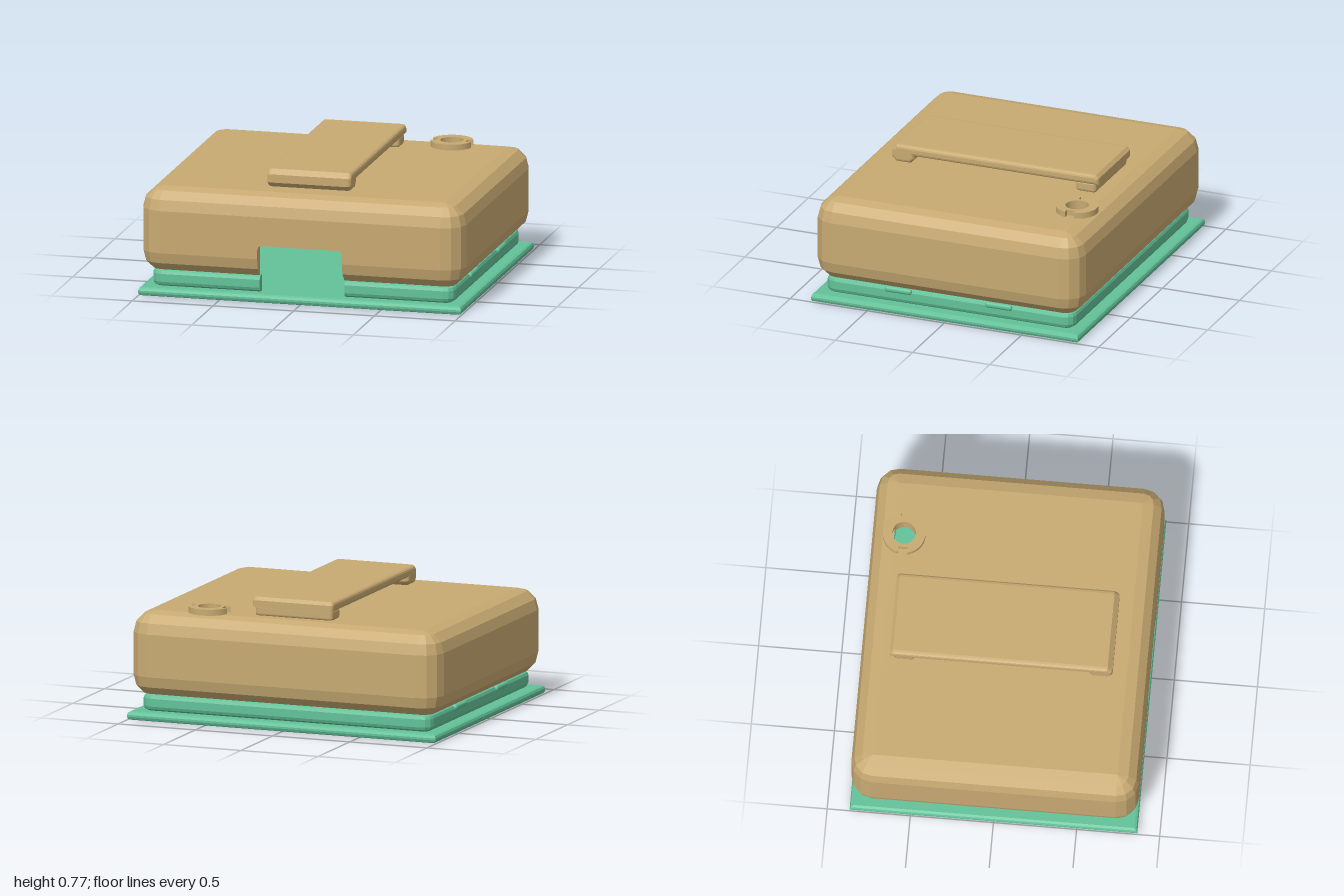
import * as THREE from 'three';
import { RoundedBoxGeometry } from 'three/addons/geometries/RoundedBoxGeometry.js';

const HX = 1, HZ = 0.865, GAP = 0.262;
const HOLE_TOP = [0.542, -0.672, 0.07];   // x, z, radius
const HOLE_BASE = [-0.56, 0.44, 0.055];

// Rounded rectangle outline; the first segment is the middle of the front side.
function outline(hx, hz, r) {
  const pts = [[-GAP, hz], [GAP, hz]];
  const corners = [[1, 1, 90], [1, -1, 0], [-1, -1, -90], [-1, 1, -180]];
  for (const [sx, sz, start] of corners) {
    for (let k = 0; k <= 3; k++) {
      const a = THREE.MathUtils.degToRad(start - k * 30);
      pts.push([sx * (hx - r) + r * Math.cos(a), sz * (hz - r) + r * Math.sin(a)]);
    }
  }
  return pts;
}

// Sweep a profile of [inset, y] round the outline, leaving the front open below gapTop.
function sweep(profile, hx, hz, r, gapTop = -1) {
  const rings = profile.map(([d, y]) =>
    outline(hx - d, hz - d, Math.max(r - d, 0.0005)).map(([x, z]) => [x, y, z]));
  const pos = [];
  for (let j = 0; j < rings.length - 1; j++) {
    const n = rings[j].length;
    for (let i = 0; i < n; i++) {
      if (i === 0 && Math.max(profile[j][1], profile[j + 1][1]) <= gapTop) continue;
      const k = (i + 1) % n;
      const a = rings[j][i], b = rings[j][k], c = rings[j + 1][k], d = rings[j + 1][i];
      pos.push(...a, ...b, ...c, ...a, ...c, ...d);
    }
  }
  const g = new THREE.BufferGeometry();
  g.setAttribute('position', new THREE.Float32BufferAttribute(pos, 3));
  g.computeVertexNormals();
  return g;
}

// Horizontal rectangle with one round hole.
function sheet(hx, hz, y, [cx, cz, r], up = true) {
  const s = new THREE.Shape([[-hx, -hz], [hx, -hz], [hx, hz], [-hx, hz]].map(p => new THREE.Vector2(...p)));
  const sign = up ? -1 : 1;
  s.holes.push(new THREE.Path().absarc(cx, sign * cz, r, 0, Math.PI * 2, true));
  return new THREE.ShapeGeometry(s, 24).rotateX(sign * Math.PI / 2).translate(0, y, 0);
}

// Shape drawn in (z, y), standing across x.
function sideShape(points) {
  return new THREE.Shape(points.map(p => new THREE.Vector2(...p)));
}

export function createModel() {
  const model = new THREE.Group();
  const tan = new THREE.MeshStandardMaterial({ color: 0xc8aa72, side: THREE.DoubleSide });
  tan.name = 'tan';
  const green = new THREE.MeshStandardMaterial({ color: 0x62c299, side: THREE.DoubleSide });
  green.name = 'green';

  const cover = new THREE.Group(), base = new THREE.Group();
  cover.name = 'cover';
  base.name = 'base';
  model.add(cover, base);
  const add = (group, name, geometry, material, x = 0, y = 0, z = 0) => {
    const m = new THREE.Mesh(geometry, material);
    m.name = name;
    m.position.set(x, y, z);
    group.add(m);
    return m;
  };
  const tube = (r, h) => new THREE.CylinderGeometry(r, r, h, 32, 1, true);

  // Cover shell: outside, inside and the two top skins
  const notchY = 0.352, wall = 0.07, ceiling = 0.6;
  const outer = [[0.065, 0.157], [0.017, 0.205], [0, 0.27], [0, notchY],
    [0, 0.53], [0.017, 0.595], [0.065, 0.643], [0.13, 0.66]];
  const inner = [[wall, ceiling], [wall, notchY], [wall, 0.157], [0.065, 0.157]];
  add(cover, 'shellOutside', sweep(outer, HX, HZ, 0.13, notchY), tan);
  add(cover, 'shellInside', sweep(inner, HX, HZ, 0.13, notchY), tan);
  add(cover, 'shellTop', sheet(HX - 0.13, HZ - 0.13, 0.66, HOLE_TOP), tan);
  add(cover, 'shellCeiling', sheet(HX - wall, HZ - wall, ceiling, HOLE_TOP, false), tan);
  add(cover, 'topHoleWall', tube(HOLE_TOP[2], 0.06), tan, HOLE_TOP[0], 0.63, HOLE_TOP[1]);

  // Front notch edges
  const jamb = outer.slice(0, 4).concat([[wall, notchY], [wall, 0.157]]).map(([d, y]) => [HZ - d, y]);
  const fillet = new THREE.Shape();
  fillet.moveTo(0, 0);
  fillet.lineTo(0.03, 0);
  fillet.quadraticCurveTo(0, 0, 0, -0.03);
  for (const s of [-1, 1]) {
    add(cover, 'notchSide', new THREE.ShapeGeometry(sideShape(jamb)).rotateY(-Math.PI / 2), tan, s * GAP);
    const f = new THREE.ExtrudeGeometry(fillet, { depth: wall, bevelEnabled: false, curveSegments: 4 });
    if (s > 0) f.rotateY(Math.PI).translate(0, 0, wall);
    add(cover, 'notchCorner', f, tan, s * GAP, notchY, HZ - wall);
  }
  add(cover, 'notchTop', new THREE.PlaneGeometry(2 * GAP, wall).rotateX(Math.PI / 2), tan, 0, notchY, HZ - wall / 2);
  add(cover, 'innerLatch', new RoundedBoxGeometry(0.22, 0.05, 0.03, 2, 0.014), tan, 0, 0.237, -HZ + wall);
  add(cover, 'innerPost', new THREE.CylinderGeometry(0.067, 0.067, ceiling - 0.153, 24), tan,
    -0.525, (ceiling + 0.153) / 2, 0.203);

  // Belt clip with a hooked tip and a foot
  const clip = sideShape([[-0.69, 0.712], [0.505, 0.712], [0.505, 0.69], [0.53, 0.665], [0.62, 0.665],
    [0.65, 0.695], [0.65, 0.745], [0.62, 0.775], [-0.67, 0.775], [-0.69, 0.755]]);
  const clipGeo = new THREE.ExtrudeGeometry(clip, {
    depth: 0.47, bevelThickness: 0.025, bevelSize: 0.02, bevelOffset: -0.02, bevelSegments: 3
  });
  add(cover, 'clip', clipGeo.translate(0, 0, -0.235).rotateY(-Math.PI / 2), tan);
  add(cover, 'clipFoot', new RoundedBoxGeometry(0.5, 0.07, 0.13, 2, 0.02), tan, 0, 0.69, -0.605);

  // Round collar on the top with two side slots
  const R = 0.128, w = 0.028, phi = Math.asin(w / R);
  const collar = new THREE.Shape();
  collar.absarc(0, 0, R, phi, Math.PI - phi, false);
  collar.lineTo(-0.09, w);
  collar.lineTo(-0.09, -w);
  collar.absarc(0, 0, R, Math.PI + phi, 2 * Math.PI - phi, false);
  collar.lineTo(0.09, -w);
  collar.lineTo(0.09, w);
  collar.holes.push(new THREE.Path().absarc(0, 0, HOLE_TOP[2], 0, Math.PI * 2, true));
  const collarGeo = new THREE.ExtrudeGeometry(collar, { depth: 0.037, bevelEnabled: false, curveSegments: 20 });
  add(cover, 'collar', collarGeo.rotateX(-Math.PI / 2), tan, HOLE_TOP[0], 0.659, HOLE_TOP[1]);

  // Base plate with softened edges and a round hole
  const t = 0.052, e = 0.02;
  const edge = [[e, 0], [0.006, 0.006], [0, e], [0, t - e], [0.006, t - 0.006], [e, t]];
  add(base, 'plateEdge', sweep(edge, HX, HZ, 0.001), green);
  add(base, 'plateTop', sheet(HX - e, HZ - e, t, HOLE_BASE), green);
  add(base, 'plateBottom', sheet(HX - e, HZ - e, 0, HOLE_BASE, false), green);
  add(base, 'plateHoleWall', tube(HOLE_BASE[2], t), green, HOLE_BASE[0], t / 2, HOLE_BASE[1]);
  add(base, 'plateHoleRing', new THREE.RingGeometry(HOLE_BASE[2], 0.085, 32).rotateX(-Math.PI / 2), green,
    HOLE_BASE[0], t + 0.003, HOLE_BASE[1]);

  // Raised rim, open at the front
  const rx = 0.937, rz = 0.804;
  const rim = [[0.025, t], [0.007, 0.063], [0, 0.08], [0, 0.128], [0.007, 0.145], [0.025, 0.154],
    [0.06, 0.154], [0.06, t]];
  add(base, 'rim', sweep(rim, rx, rz, 0.065, 0.2), green);
  for (const s of [-1, 1]) {
    const end = sideShape(rim.map(([d, y]) => [rz - d, y]));
    add(base, 'rimEnd', new THREE.ShapeGeometry(end).rotateY(-Math.PI / 2), green, s * GAP);
    // Snap ridges on both sides
    for (const z of [-0.325, 0.325]) {
      add(base, 'snapRidge', new RoundedBoxGeometry(0.036, 0.036, 0.175, 3, 0.016), green, s * 0.932, 0.135, z);
    }
  }
  return model;
}
